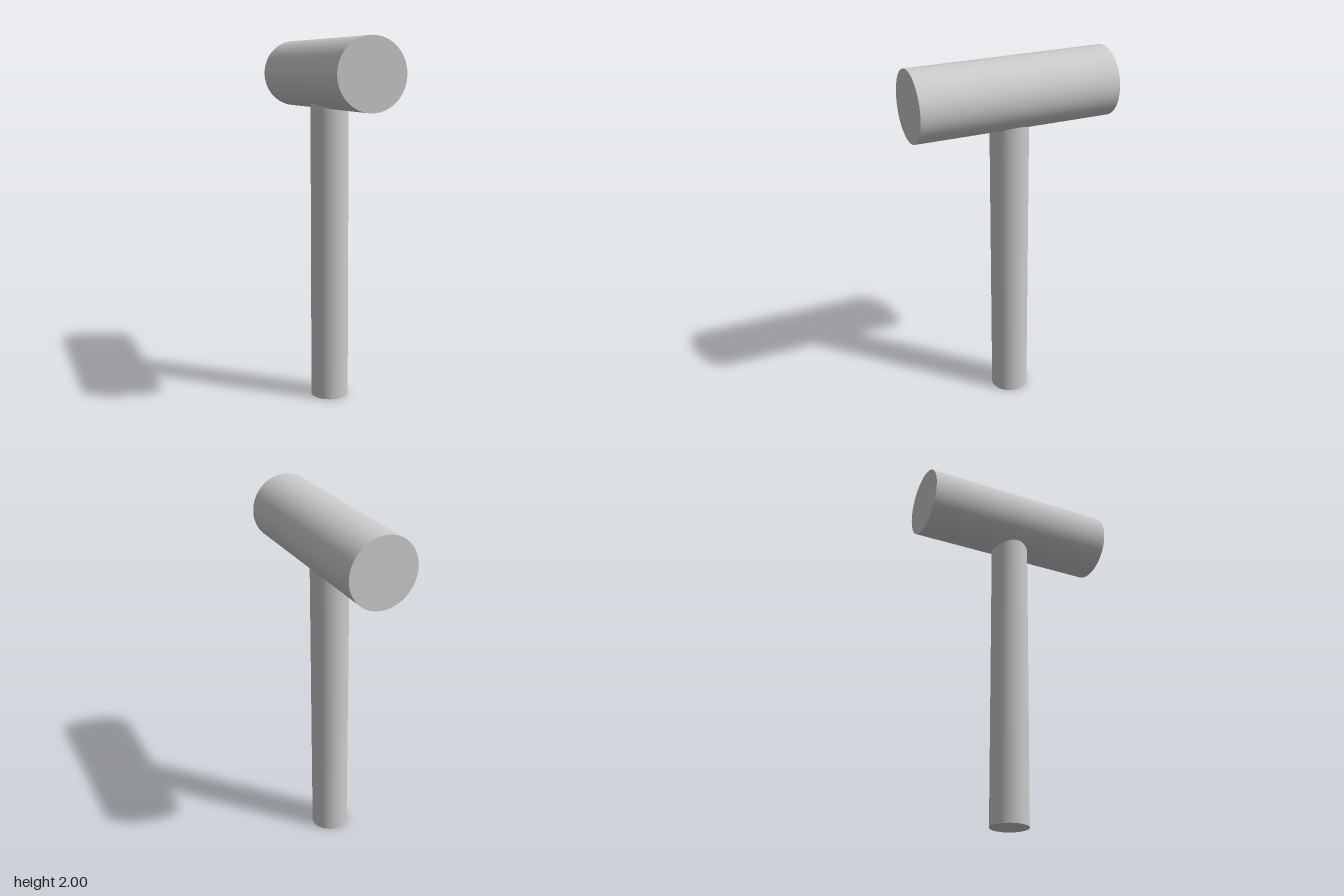
import * as THREE from 'three';

export function createModel() {
  const model = new THREE.Group();
  model.name = 'mallet';
  const material = new THREE.MeshStandardMaterial({ color: 0xcccccc });

  const addCylinder = (name, radius, length, y) => {
    const mesh = new THREE.Mesh(new THREE.CylinderGeometry(radius, radius, length, 64), material);
    mesh.name = name;
    mesh.position.y = y;
    model.add(mesh);
    return mesh;
  };

  // Head: a cylinder lying along z
  const headRadius = 0.188;
  const headY = 2 - headRadius;
  addCylinder('head', headRadius, 1.095, headY).rotation.x = Math.PI / 2;

  // Handle: stands on the ground and runs up into the head
  const handleLength = 1.75;
  addCylinder('handle', 0.104, handleLength, handleLength / 2);

  return model;
}
